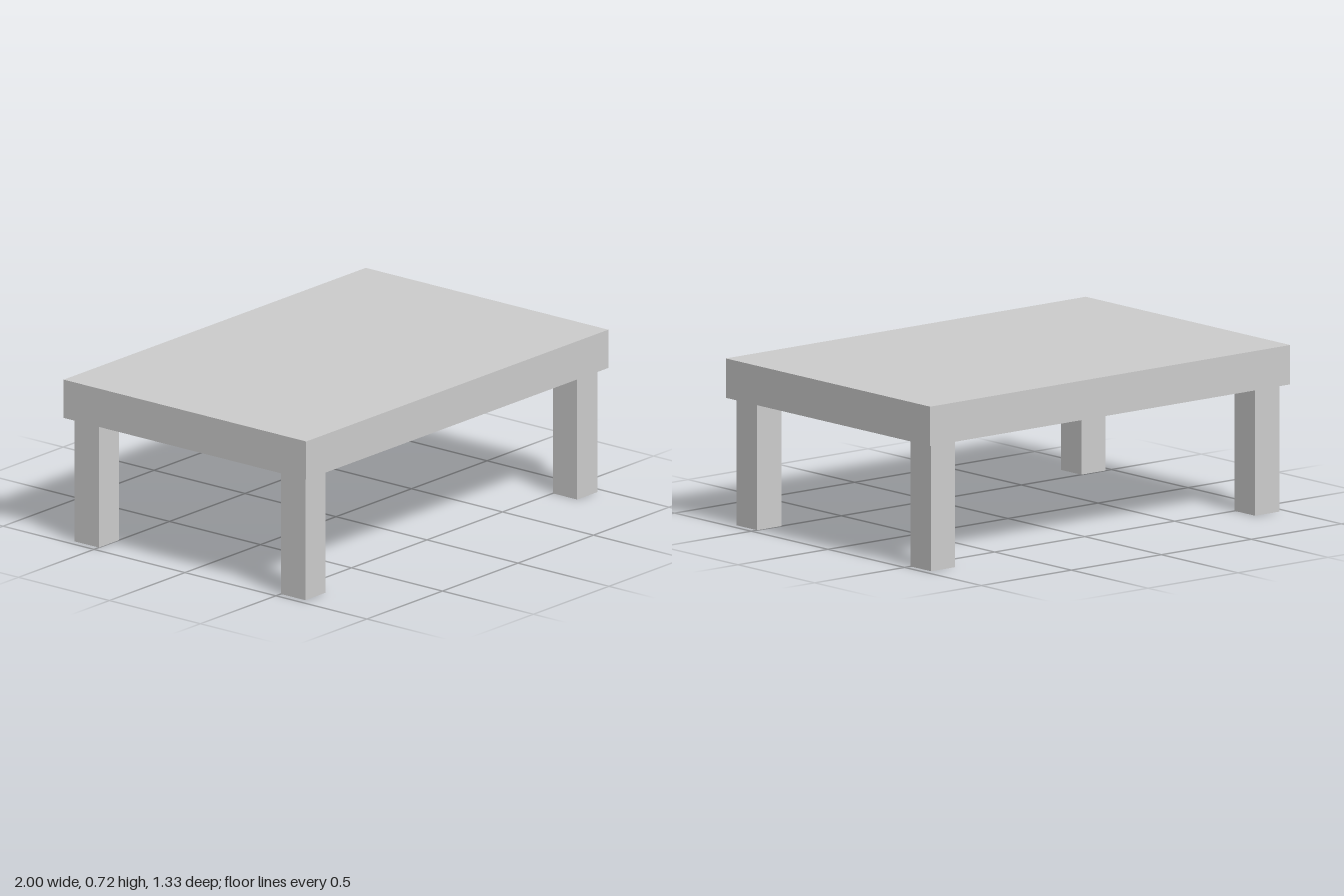
import * as THREE from 'three';

export function createModel() {
  const model = new THREE.Group();
  model.name = 'table';

  const grey = new THREE.MeshStandardMaterial({ color: 0xcccccc });
  grey.name = 'light grey';

  const legHeight = 0.55, legWidth = 0.134, topThickness = 0.17;

  function addBox(name, w, h, d, x, bottom, z) {
    const mesh = new THREE.Mesh(new THREE.BoxGeometry(w, h, d), grey);
    mesh.name = name;
    mesh.position.set(x, bottom + h / 2, z);
    model.add(mesh);
  }

  // Thick slab top
  addBox('tableTop', 2, topThickness, 1.333, 0, legHeight, 0);

  // Four square legs, slightly inset from the corners
  for (const [end, sz] of [['front', 1], ['back', -1]]) {
    for (const [side, sx] of [['Left', 1], ['Right', -1]]) {
      addBox(`${end}${side}Leg`, legWidth, legHeight, legWidth, sx * 0.9, 0, sz * 0.567);
    }
  }

  return model;
}
